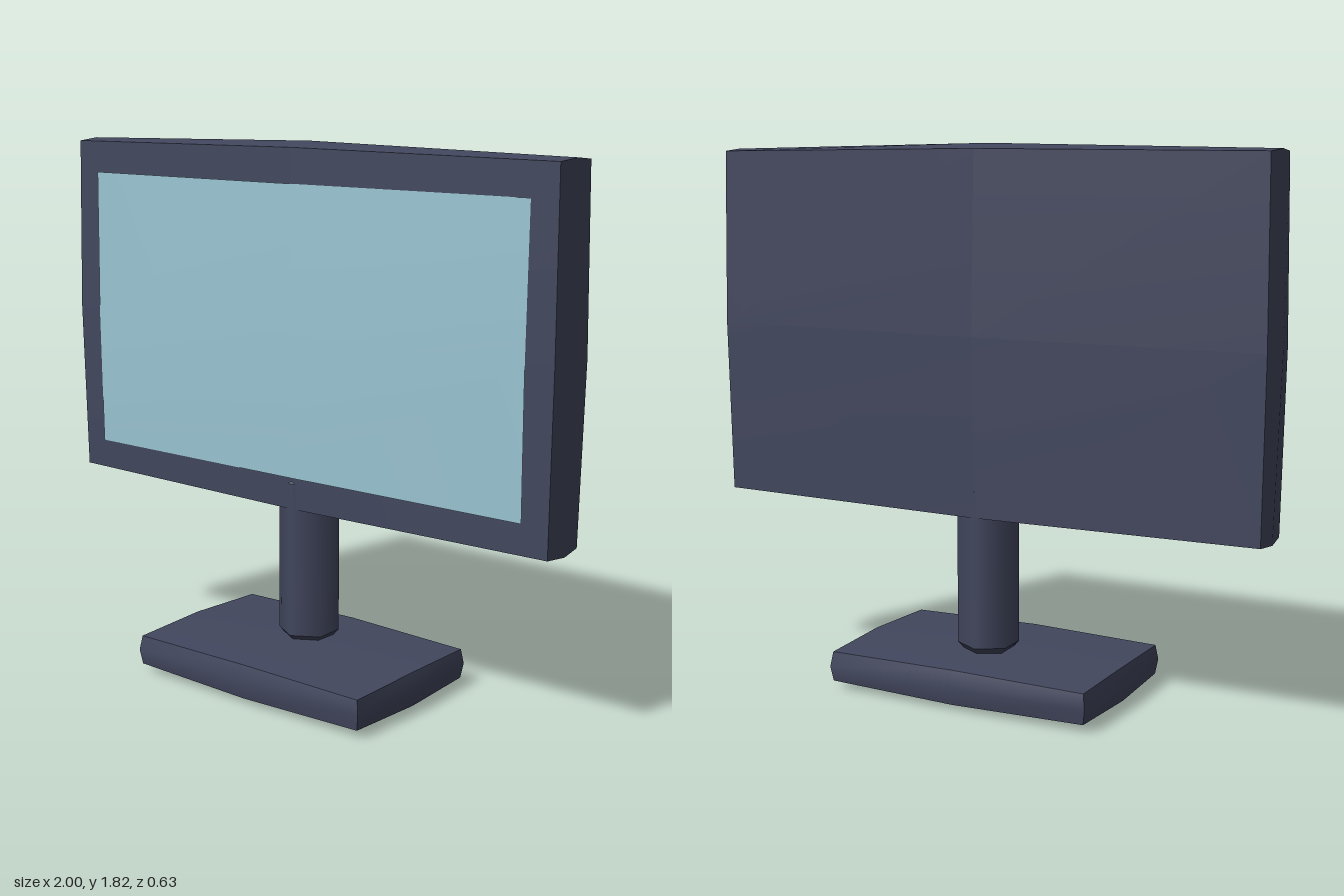
import * as THREE from 'three';

const INFLATE = 0.06;

// Box split in two along each axis, puffed outward along its averaged corner normals
function puffedBox(w, h, d) {
  const geo = new THREE.BoxGeometry(w, h, d, 2, 2, 2);
  const p = geo.attributes.position;
  const v = new THREE.Vector3();
  const n = new THREE.Vector3();
  const side = (value) => (Math.abs(value) < 1e-5 ? 0 : Math.sign(value));
  for (let i = 0; i < p.count; i++) {
    v.fromBufferAttribute(p, i);
    n.set(side(v.x), side(v.y), side(v.z)).normalize();
    v.addScaledVector(n, INFLATE);
    p.setXYZ(i, v.x, v.y, v.z);
  }
  geo.computeVertexNormals();
  return geo;
}

// Thin sheet that follows the slight bulge of the housing front
function screenSheet(w, h, faceW, faceH) {
  const geo = new THREE.PlaneGeometry(w, h, 2, 2);
  const p = geo.attributes.position;
  const mid = INFLATE * Math.SQRT1_2;
  const corner = INFLATE / Math.sqrt(3);
  for (let i = 0; i < p.count; i++) {
    const u = Math.abs(p.getX(i)) / (faceW / 2);
    const v = Math.abs(p.getY(i)) / (faceH / 2);
    const z = INFLATE - (INFLATE - mid) * Math.max(u, v) - (mid - corner) * Math.min(u, v);
    p.setZ(i, z);
  }
  geo.computeVertexNormals();
  return geo;
}

export function createModel() {
  const model = new THREE.Group();
  const casing = new THREE.MeshStandardMaterial({ color: 0x42475e });
  casing.name = 'dark slate casing';
  const glass = new THREE.MeshStandardMaterial({ color: 0x9ac5d3 });
  glass.name = 'pale blue screen';

  const add = (name, geo, mat, x, y, z, parent = model) => {
    const mesh = new THREE.Mesh(geo, mat);
    mesh.name = name;
    mesh.position.set(x, y, z);
    parent.add(mesh);
    return mesh;
  };

  // Display housing and its screen
  const depth = 0.105;
  add('housing', puffedBox(1.88, 1.108, depth), casing, 0, 1.208, -0.053);
  add('screen', screenSheet(1.77, 0.97, 1.95, 1.18), glass, 0, 1.205, -0.053 + depth / 2 + 0.004);

  // Six-sided post with bevelled ends
  const post = new THREE.Group();
  post.name = 'post';
  post.position.z = -0.05;
  model.add(post);
  const r = 0.1025;
  const tip = 0.07;
  add('postShaft', new THREE.CylinderGeometry(r, r, 0.53, 6, 1, true), casing, 0, 0.435, 0, post);
  add('postTop', new THREE.CylinderGeometry(tip, r, 0.035, 6), casing, 0, 0.7175, 0, post);
  add('postBottom', new THREE.CylinderGeometry(r, tip, 0.035, 6), casing, 0, 0.1525, 0, post);

  // Foot
  add('base', puffedBox(0.86, 0.032, 0.512), casing, 0, 0.08, 0);

  // Rest the foot on the ground
  const low = new THREE.Box3().setFromObject(model).min.y;
  for (const part of model.children) part.position.y -= low;
  return model;
}
